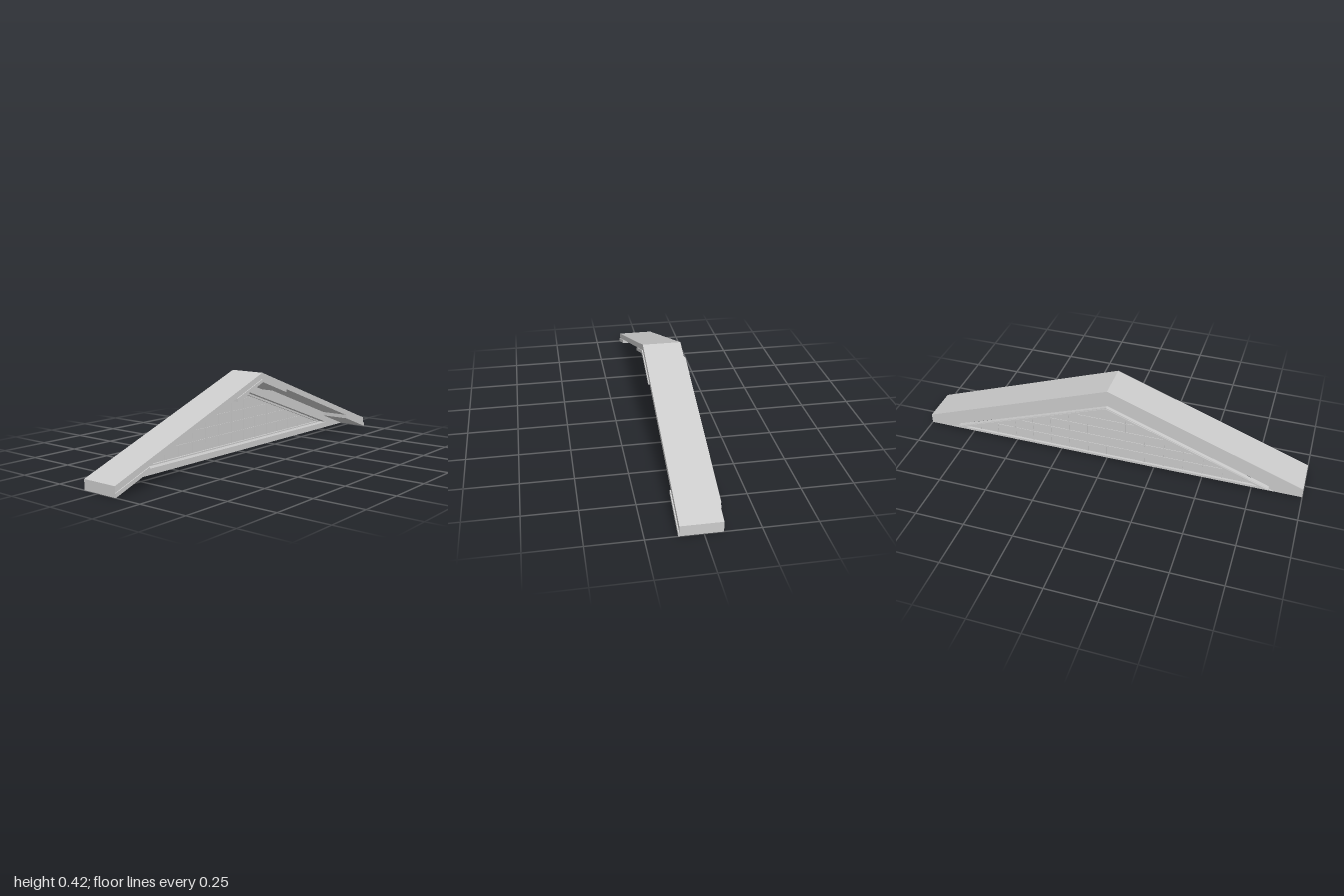
import * as THREE from 'three';

const material = new THREE.MeshStandardMaterial({ color: 0xcccccc });

// Outline in (z, y), extruded across x from x0 to x1
function slab(name, points, x0, x1, hole) {
  const toV = (p) => p.map(([z, y]) => new THREE.Vector2(z, y));
  const shape = new THREE.Shape(toV(points));
  if (hole) shape.holes.push(new THREE.Path(toV(hole)));
  const geometry = new THREE.ExtrudeGeometry(shape, { depth: x1 - x0, bevelEnabled: false });
  geometry.rotateY(-Math.PI / 2).translate(x1, 0, 0);
  const mesh = new THREE.Mesh(geometry, material);
  mesh.name = name;
  return mesh;
}

const triangle = (half, base, apex) => [[-half, base], [half, base], [0, apex]];
const roofY = (z) => 0.42 - 0.37 * Math.abs(z);

export function createModel() {
  const group = new THREE.Group();
  group.name = 'gableRoof';

  // Thin sloping roof over the whole span
  const t = 0.03;
  group.add(slab('roof', [
    [-1, roofY(1) - t], [0, roofY(0) - t], [1, roofY(1) - t],
    [1, roofY(1)], [0, roofY(0)], [-1, roofY(1)],
  ], -0.085, 0.105));

  // Thicker soffit at the ridge and at both eaves
  const low = 0.047;
  group.add(slab('ridgeSoffit', [
    [-0.2, roofY(0.2) - low], [0, roofY(0) - low], [0.2, roofY(0.2) - low],
    [0.2, roofY(0.2) - t], [0, roofY(0) - t], [-0.2, roofY(0.2) - t],
  ], -0.07, 0.11));
  for (const s of [-1, 1]) {
    const eave = [
      [s * 0.8, roofY(0.8) - 0.05], [s, 0],
      [s, roofY(1) - t], [s * 0.8, roofY(0.8) - t],
    ];
    group.add(slab('eaveSoffit', eave, -0.08, 0.11));
  }

  // Gable wall with its triangular opening
  group.add(slab('gableWall',
    [[-1, 0], [1, 0], [1, 0.045], [0, 0.415], [-1, 0.045]],
    -0.085, -0.05, triangle(0.83, 0.03, 0.33)));

  // Window frame and the thin flange around it
  group.add(slab('windowFrame', triangle(0.835, 0.027, 0.333), -0.112, -0.085,
    triangle(0.785, 0.036, 0.319)));
  group.add(slab('frameFlange', triangle(0.86, 0.02, 0.337), -0.108, -0.104,
    triangle(0.8, 0.034, 0.322)));

  // Panel closing the opening
  group.add(slab('panel', triangle(0.8, 0.033, 0.322), -0.1, -0.096));

  // Grid of glazing bars, trimmed to the triangle
  const bars = new THREE.Group();
  bars.name = 'glazingBars';
  const addBar = (h, d, y, z) => {
    const bar = new THREE.Mesh(new THREE.BoxGeometry(0.01, h, d), material);
    bar.name = 'glazingBar';
    bar.position.set(-0.098, y, z);
    bars.add(bar);
  };
  const base = 0.036, height = 0.283, half = 0.785, w = 0.005;
  for (let i = -7; i <= 7; i++) {
    const z = i * 0.1;
    const h = height * (1 - Math.abs(z) / half);
    addBar(h, w, base + h / 2, z);
  }
  for (let y = 0.055; y < height; y += 0.055) {
    addBar(w, 2 * half * (1 - y / height), base + y, 0);
  }
  group.add(bars);

  return group;
}
